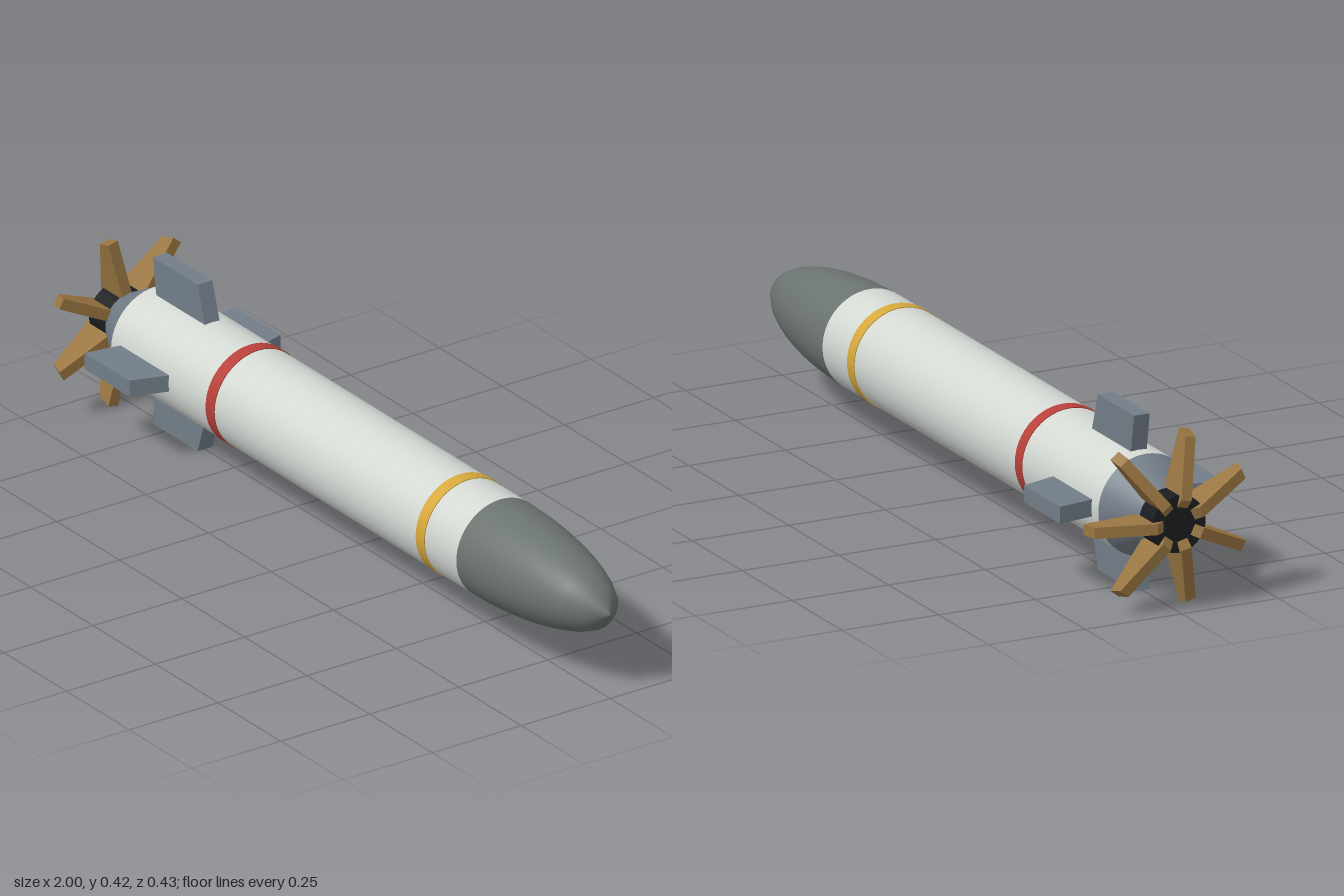
import * as THREE from 'three';

const AXIS_Y = 0.213;
const R = 0.123;

export function createModel() {
  const model = new THREE.Group();
  const body = new THREE.Group();
  body.name = 'torpedo';
  body.position.y = AXIS_Y;
  model.add(body);

  const mat = (color) => new THREE.MeshStandardMaterial({ color });
  const white = mat(0xd3d8d3), noseGrey = mat(0x6b736f), slate = mat(0x727d88);
  const red = mat(0xb8403a), yellow = mat(0xd6a83c), bronze = mat(0x9a7642), black = mat(0x1a1d20);

  const add = (name, geometry, material, parent = body) => {
    const mesh = new THREE.Mesh(geometry, material);
    mesh.name = name;
    parent.add(mesh);
    return mesh;
  };

  // Round section along x, from x0 (radius r0) to x1 (radius r1)
  const section = (name, x0, x1, r0, r1, material) => {
    const g = new THREE.CylinderGeometry(r1, r0, x1 - x0, 48);
    g.rotateZ(-Math.PI / 2);
    g.translate((x0 + x1) / 2, 0, 0);
    return add(name, g, material);
  };

  // Flat plate outlined in (x, radius), centred on its thickness
  const plate = (points, thickness) => {
    const shape = new THREE.Shape(points.map(([x, y]) => new THREE.Vector2(x, y)));
    const g = new THREE.ExtrudeGeometry(shape, { depth: thickness, bevelEnabled: false });
    return g.translate(0, 0, -thickness / 2);
  };

  // Hull, stripes and tapered tail
  section('hull', -0.82, 0.56, R, R, white);
  section('rearStripe', -0.44, -0.406, R + 0.002, R + 0.002, red);
  section('frontStripe', 0.4, 0.434, R + 0.002, R + 0.002, yellow);
  section('tailCone', -0.92, -0.82, 0.069, R, slate);
  section('propellerHub', -0.985, -0.92, 0.069, 0.069, black);

  // Elliptical nose ending in a short point
  const profile = [];
  for (let i = 0; i <= 10; i++) {
    const t = i / 10;
    profile.push(new THREE.Vector2(R * Math.sqrt(1 - t * t), 0.56 + 0.44 * t));
  }
  add('nose', new THREE.LatheGeometry(profile, 48).rotateZ(-Math.PI / 2), noseGrey);

  // Four stabilising fins
  const finGeometry = plate([[-0.78, 0.09], [-0.58, 0.09], [-0.62, 0.212], [-0.8, 0.212]], 0.041);
  for (let i = 0; i < 4; i++) {
    add('fin', finGeometry, slate).rotation.x = i * Math.PI / 2;
  }

  // Seven tapered propeller blades, one pointing straight back along -z
  const propeller = new THREE.Group();
  propeller.name = 'propeller';
  body.add(propeller);
  const bladeGeometry = plate([[-0.985, 0.04], [-0.905, 0.04], [-0.92, 0.213], [-0.957, 0.202], [-0.998, 0.06]], 0.027);
  for (let i = 0; i < 7; i++) {
    add('propellerBlade', bladeGeometry, bronze, propeller).rotation.x = -Math.PI / 2 + i * Math.PI * 2 / 7;
  }

  return model;
}
